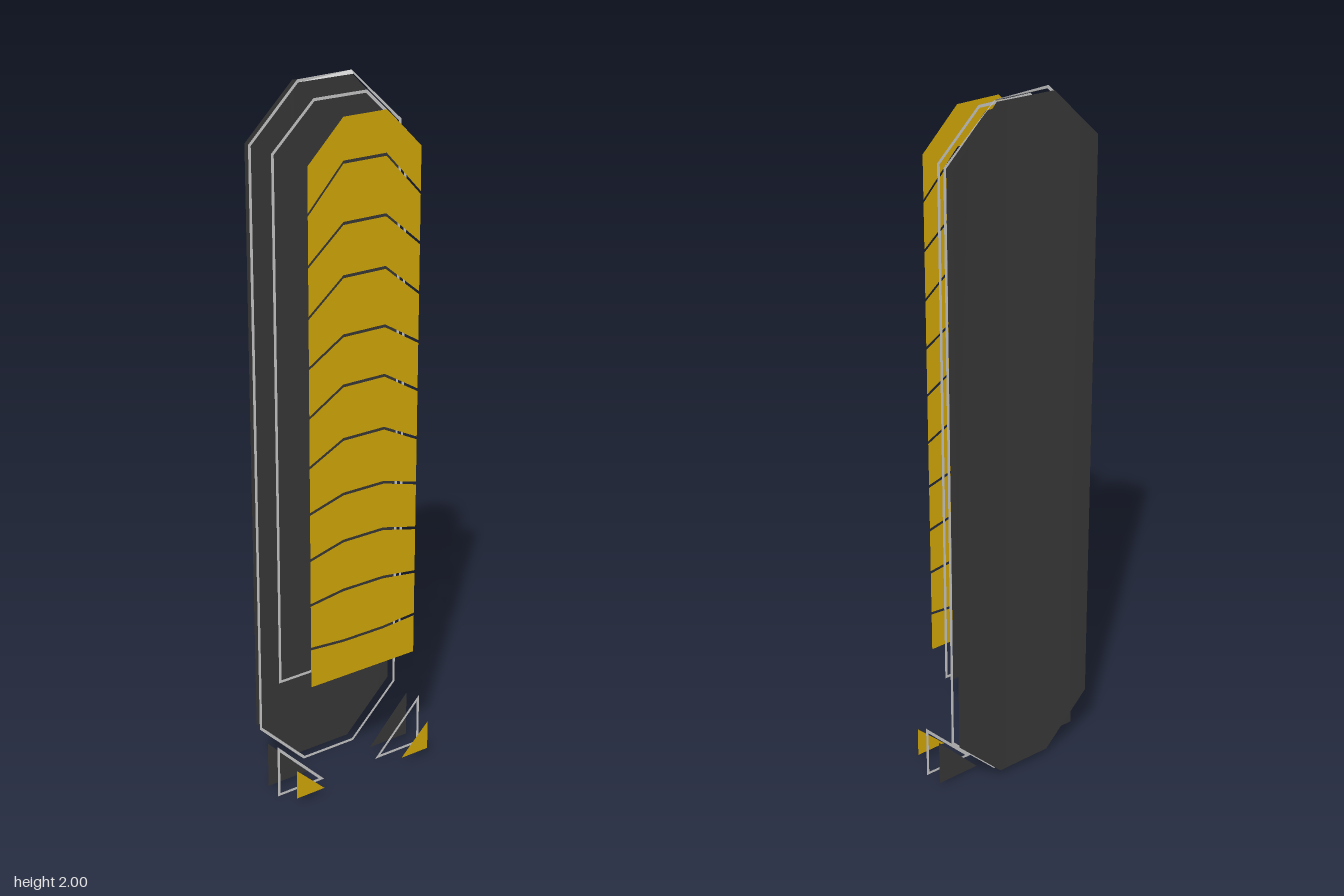
import * as THREE from 'three';

const material = (color, flatShading) => new THREE.MeshStandardMaterial({ color, flatShading, side: THREE.DoubleSide });
const LINE = 0.008; // width of the outline bands

// Thin sheet mesh from [x, y, z] points and triangle indices
function sheet(name, points, index, mat, z) {
  const geo = new THREE.BufferGeometry();
  geo.setAttribute('position', new THREE.Float32BufferAttribute(points.flatMap(([x, y, dz = 0]) => [x, y, dz]), 3));
  geo.setIndex(index);
  geo.computeVertexNormals();
  const mesh = new THREE.Mesh(geo, mat);
  mesh.name = name;
  mesh.position.z = z;
  return mesh;
}

// Filled convex outline, fanned from its first point (counter-clockwise)
function plate(name, pts, mat, z) {
  const index = [];
  for (let i = 1; i < pts.length - 1; i++) index.push(0, i, i + 1);
  return sheet(name, pts, index, mat, z);
}

// Moves every edge of a counter-clockwise outline inwards by w
function inset(pts, w) {
  const n = pts.length;
  const normal = (a, b) => {
    const l = Math.hypot(b[0] - a[0], b[1] - a[1]);
    return [-(b[1] - a[1]) / l, (b[0] - a[0]) / l];
  };
  return pts.map((p, i) => {
    const a = normal(pts[(i + n - 1) % n], p), b = normal(p, pts[(i + 1) % n]);
    const k = w / (1 + a[0] * b[0] + a[1] * b[1]);
    return [p[0] + (a[0] + b[0]) * k, p[1] + (a[1] + b[1]) * k];
  });
}

// Narrow closed band following an outline
function band(name, pts, mat, z) {
  const n = pts.length, index = [];
  for (let i = 0; i < n; i++) {
    const j = (i + 1) % n;
    index.push(i, j, n + j, i, n + j, n + i);
  }
  return sheet(name, [...pts, ...inset(pts, LINE)], index, mat, z);
}

export function createModel() {
  const model = new THREE.Group();
  model.name = 'layeredGauge';
  const dark = material(0x393939, false), gold = material(0xd8ac08, false), grey = material(0xcccccc, true);

  // Backing board and its outline, each with one top corner pulled to meet the other
  const outline = [
    [0.085, 2, -0.0135], [-0.09, 2], [-0.238, 1.855], [-0.238, 0.163],
    [-0.09, 0.012], [0.085, 0.012], [0.235, 0.163], [0.235, 1.855],
  ];
  const board = inset(outline, LINE * 0.8);
  board[0].push(0.0135);
  const boardFaces = [0, 1, 4, 0, 4, 5, 0, 5, 6, 0, 6, 7, 1, 2, 3, 1, 3, 4];
  model.add(sheet('backingBoard', board, boardFaces, dark, -0.1));
  model.add(band('boardOutline', outline, grey, -0.073));

  // Inner panel and its outline
  const panel = [
    [0.077, 1.965], [-0.086, 1.965], [-0.213, 1.843],
    [-0.213, 0.337], [0.205, 0.337], [0.205, 1.843],
  ];
  model.add(plate('innerPanel', inset(panel, LINE), dark, -0.033));
  model.add(band('panelOutline', panel, grey, -0.007));

  // Gold segments, split by chevrons that flatten towards the bottom
  const xs = [-0.177, -0.07, 0.062, 0.171];
  const gap = 0.004;
  const cuts = [ // [middle height, side height]
    [1.938 + gap, 1.83 + gap], [1.824, 1.707], [1.667, 1.573], [1.527, 1.437],
    [1.368, 1.301], [1.23, 1.164], [1.079, 1.024], [0.921, 0.89],
    [0.782, 0.754], [0.634, 0.619], [0.477, 0.485], [0.365 - gap, 0.365 - gap],
  ];
  const segments = new THREE.Group();
  segments.name = 'goldSegments';
  for (let i = 0; i < cuts.length - 1; i++) {
    const row = ([mid, side], d) => xs.map((x, k) => [x, (k === 0 || k === 3 ? side : mid) + d]);
    const points = [...row(cuts[i + 1], gap), ...row(cuts[i], -gap)];
    const index = [];
    for (let k = 0; k < 3; k++) index.push(k, k + 1, k + 5, k, k + 5, k + 4);
    segments.add(sheet('goldSegment' + (i + 1), points, index, gold, 0.1));
  }
  model.add(segments);

  // Layered triangles in the two bottom corners
  for (const [side, s] of [['left', 1], ['right', -1]]) {
    // Right triangle from its inner tip, outer edge, base and top heights
    const triangle = (tip, edge, base, top) => {
      const out = [[s * tip, base], [s * edge, base], [s * edge, top]];
      return s > 0 ? out : out.reverse();
    };
    const corner = new THREE.Group();
    corner.name = side + 'Corner';
    corner.add(
      plate('cornerPlate', triangle(0.111, 0.243, 0.003, 0.144), dark, -0.024),
      band('cornerOutline', triangle(0.09, 0.247, 0, 0.163), grey, 0.032),
      plate('cornerInlay', triangle(0.135, 0.228, 0.023, 0.114), gold, 0.1),
    );
    model.add(corner);
  }
  return model;
}
